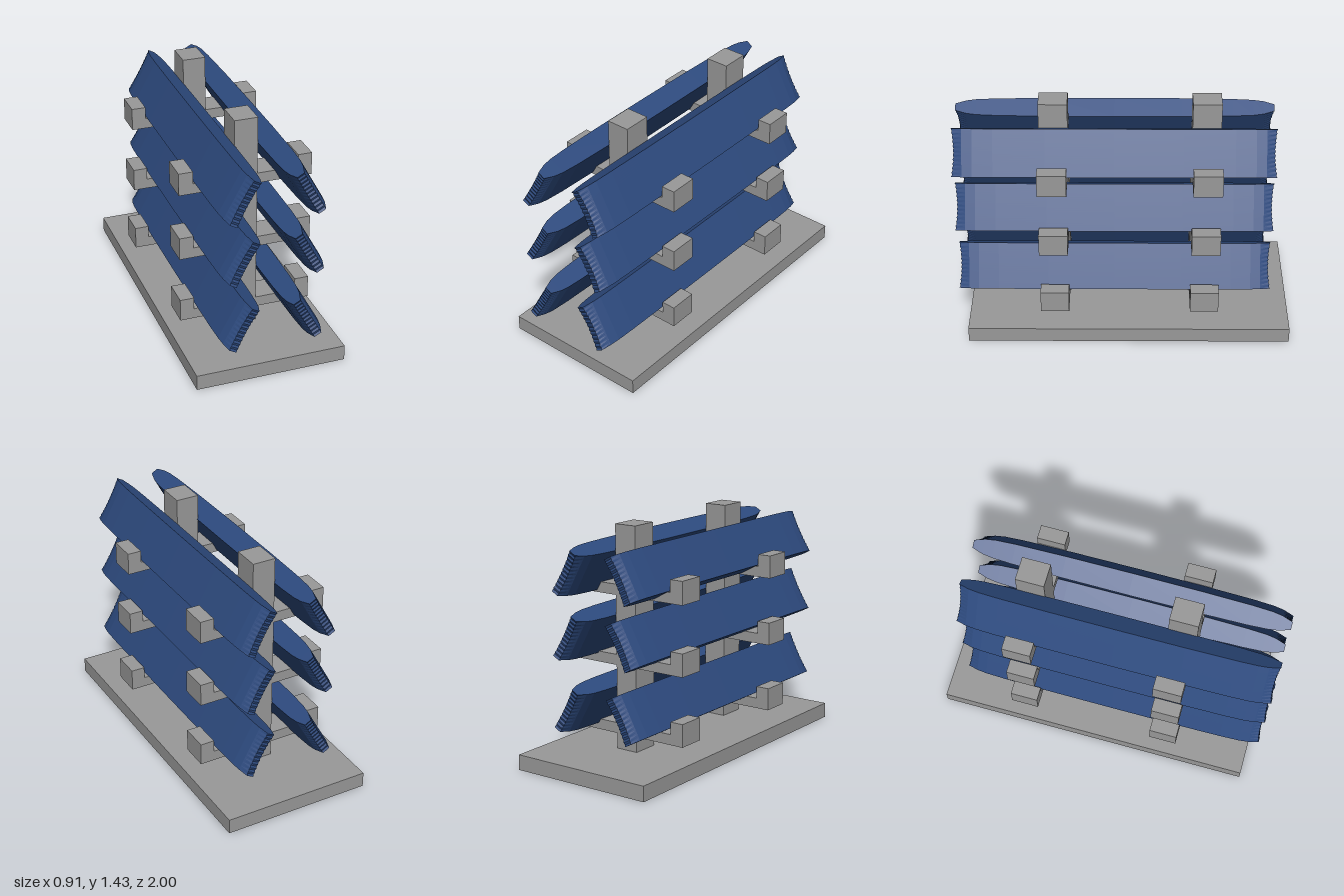
import * as THREE from 'three';

const grey = new THREE.MeshStandardMaterial({ color: 0x999999, flatShading: true });
const blue = new THREE.MeshStandardMaterial({ color: 0x2d4a7e, flatShading: true });

// Box given by its min and max corners
function box(name, [x0, y0, z0], [x1, y1, z1]) {
  const mesh = new THREE.Mesh(new THREE.BoxGeometry(x1 - x0, y1 - y0, z1 - z0), grey);
  mesh.position.set((x0 + x1) / 2, (y0 + y1) / 2, (z0 + z1) / 2);
  mesh.name = name;
  return mesh;
}

// Plank that thins toward both ends, with slightly hollow, toothed end edges
function plankGeometry() {
  const thick = 0.128, width = 0.28, teeth = 11;
  const stations = [[0, 1], [0.4, 0.98], [0.7, 0.91], [0.82, 0.82], [0.88, 0.68], [0.943, 0.36]];
  const last = stations.length - 1;
  const half = stations[last][0];
  const g = new THREE.BoxGeometry(thick, width, 2 * last, 1, teeth * 2, 2 * last);
  const p = g.attributes.position;
  for (let i = 0; i < p.count; i++) {
    const y = p.getY(i), step = Math.round(p.getZ(i));
    const [z, scale] = stations[Math.abs(step)];
    let inset = 0;
    if (z === half) {
      const row = Math.round((y / width + 0.5) * teeth * 2);
      inset = 0.012 * (1 - (2 * y / width) ** 2) + (row % 2 ? 0.005 : 0);
    }
    p.setX(i, p.getX(i) * scale);
    p.setZ(i, Math.sign(step) * (z - inset));
  }
  g.computeVertexNormals();
  return g;
}

export function createModel() {
  const model = new THREE.Group();
  model.name = 'plankRack';

  model.add(box('base', [-0.455, 0, -1], [0.455, 0.093, 0.94]));

  // Two uprights, each with three crossbars and upturned tips
  for (const z of [0.415, -0.483]) {
    const z0 = z - 0.085, z1 = z + 0.085;
    const upright = new THREE.Group();
    upright.name = z > 0 ? 'frontUpright' : 'backUpright';
    upright.add(box('post', [-0.075, 0.093, z0], [0.066, 1.43, z1]));
    for (const y of [0.186, 0.6, 1.016]) {
      for (const [side, root, end, tip] of [['left', 0.066, 0.4, 0.315], ['right', -0.075, -0.405, -0.32]]) {
        upright.add(box(side + 'Arm', [Math.min(root, end), y, z0], [Math.max(root, end), y + 0.063, z1]));
        upright.add(box(side + 'ArmTip', [Math.min(tip, end), y + 0.063, z0], [Math.max(tip, end), y + 0.138, z1]));
      }
    }
    model.add(upright);
  }

  // Six planks leaning against the uprights
  const plank = plankGeometry();
  for (const y of [0.377, 0.804, 1.18]) {
    for (const side of [1, -1]) {
      const mesh = new THREE.Mesh(plank, blue);
      mesh.name = side > 0 ? 'leftPlank' : 'rightPlank';
      mesh.position.set(side * 0.19 - 0.0025, y, 0.057);
      mesh.rotation.z = side * 0.504;
      model.add(mesh);
    }
  }
  return model;
}
